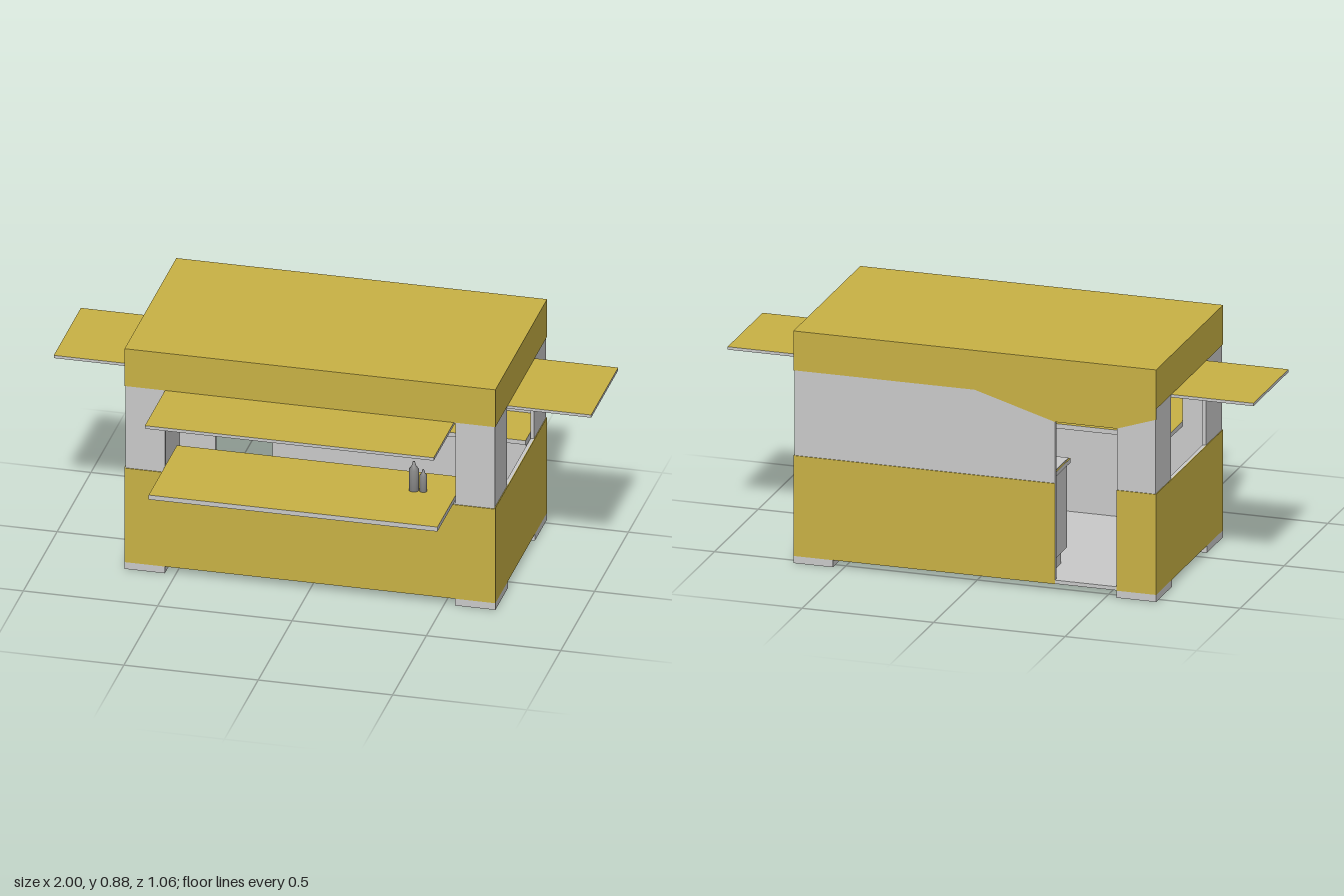
import * as THREE from 'three';

const gold = new THREE.MeshStandardMaterial({ name: 'goldPaint', color: 0xc9b245 });
const grey = new THREE.MeshStandardMaterial({ name: 'lightGrey', color: 0xcacaca });
const dark = new THREE.MeshStandardMaterial({ name: 'bottleGrey', color: 0x8c8c8c });

const X = 0.69, ZF = 0.235, ZB = -0.53, TOP = 0.885; // outer body limits
const BASE = 0.027, SILL = 0.41, BAND = 0.735;       // paint heights
const WX = 0.54, WZ0 = -0.35, WZ1 = 0.05;            // window limits
const DOOR0 = -0.54, DOOR1 = -0.305, DOORTOP = 0.645;
const SKIN = 0.003, WALL = 0.013;

const rect = (x0, y0, x1, y1) => [[x0, y0], [x1, y0], [x1, y1], [x0, y1]];
const toVectors = (pts) => pts.map(([x, y]) => new THREE.Vector2(x, y));

export function createModel() {
  const root = new THREE.Group();
  root.name = 'kiosk';

  const add = (name, geometry, material, parent = root) => {
    const mesh = new THREE.Mesh(geometry, material);
    mesh.name = name;
    parent.add(mesh);
    return mesh;
  };
  // Box given by its limits
  const box = (name, x0, x1, y0, y1, z0, z1, material, parent) => {
    const mesh = add(name, new THREE.BoxGeometry(x1 - x0, y1 - y0, z1 - z0), material, parent);
    mesh.position.set((x0 + x1) / 2, (y0 + y1) / 2, (z0 + z1) / 2);
    return mesh;
  };
  // Flat outline with optional holes, given a thickness
  const plate = (name, outline, depth, material, parent, hole) => {
    const shape = new THREE.Shape(toVectors(outline));
    if (hole) shape.holes.push(new THREE.Path(toVectors(hole)));
    return add(name, new THREE.ExtrudeGeometry(shape, { depth, bevelEnabled: false }), material, parent);
  };
  // Hatch board: painted faces, bare edges
  const board = (name, x0, x1, y0, y1, z0, z1) =>
    box(name, x0, x1, y0, y1, z0, z1, [grey, grey, gold, gold, grey, grey]);

  // Front wall with serving window
  const front = new THREE.Group();
  front.name = 'frontWall';
  root.add(front);
  plate('frontWallCore', rect(-X + SKIN, BASE, X - SKIN, TOP - SKIN), WALL, grey, front,
    rect(-WX, SILL, WX, BAND - 0.004)).position.z = ZF - SKIN - WALL;
  plate('frontLowerPaint', rect(-X, BASE, X, SILL - 0.005), SKIN, gold, front).position.z = ZF - SKIN;
  plate('frontUpperPaint', rect(-X, BAND, X, TOP), SKIN, gold, front).position.z = ZF - SKIN;

  // Back wall with doorway and a sloping painted edge around it
  const back = new THREE.Group();
  back.name = 'backWall';
  root.add(back);
  plate('backWallCore', [
    [-X + SKIN, BASE], [DOOR0, BASE], [DOOR0, DOORTOP], [DOOR1, DOORTOP], [DOOR1, BASE],
    [X - SKIN, BASE], [X - SKIN, TOP - SKIN], [-X + SKIN, TOP - SKIN],
  ], WALL, grey, back).position.z = ZB + SKIN;
  plate('backUpperPaint', [
    [-X, 0.695], [DOOR0, DOORTOP], [DOOR1, DOORTOP], [0, BAND], [X, BAND], [X, TOP], [-X, TOP],
  ], SKIN, gold, back).position.z = ZB;
  plate('backLowerPaint', rect(DOOR1, BASE, X, SILL), SKIN, gold, back).position.z = ZB;
  plate('doorSidePaint', rect(-X, BASE, DOOR0, SILL), SKIN, gold, back).position.z = ZB;
  plate('doorHeaderInside', rect(DOOR0, DOORTOP, DOOR1, TOP - 0.02), SKIN, gold, back)
    .position.z = ZB + SKIN + WALL;

  // Side walls, each with a window and a raised hatch
  for (const s of [1, -1]) {
    const side = new THREE.Group();
    side.name = s > 0 ? 'leftWall' : 'rightWall';
    root.add(side);
    const sidePlate = (name, outline, inset, depth, material, hole) => {
      const mesh = plate(name, outline, depth, material, side, hole);
      mesh.rotation.y = -Math.PI / 2;
      mesh.position.x = s > 0 ? X - inset : -X + inset + depth;
    };
    sidePlate('sideWallCore', rect(ZB + SKIN, BASE, ZF - SKIN, TOP - SKIN), SKIN, WALL, grey,
      rect(WZ0, SILL, WZ1, BAND - 0.004));
    sidePlate('sideLowerPaint', rect(ZB, BASE, ZF, SILL), 0, SKIN, gold);
    sidePlate('sideUpperPaint', rect(ZB, BAND, ZF, TOP), 0, SKIN, gold);
    const [a, b] = s > 0 ? [X - 0.01, 1] : [-1, -X + 0.01];
    board('sideHatch', a, b, 0.722, 0.733, WZ0, WZ1);

    // Corner feet
    const [f0, f1] = s > 0 ? [WX, X] : [-X, -WX];
    box('frontFoot', f0, f1, 0, BASE, WZ1, ZF, grey);
    box('backFoot', f0, f1, 0, BASE, ZB, WZ0, grey);
  }

  // Roof and floor
  box('roofCore', -X + SKIN, X - SKIN, TOP - 0.02, TOP - SKIN, ZB + SKIN, ZF - SKIN, grey);
  box('roofPaint', -X, X, TOP - SKIN, TOP, ZB, ZF, gold);
  box('floor', -X + SKIN, X - SKIN, BASE, BASE + 0.014, ZB + SKIN, ZF - SKIN, grey);

  // Front awning and serving counter
  board('frontAwning', -WX, WX - 0.005, 0.722, 0.734, ZF - 0.01, 0.53);
  board('servingCounter', -WX, WX - 0.005, 0.411, 0.429, WZ1 + 0.005, 0.475);

  // Work counter along the back wall
  const work = new THREE.Group();
  work.name = 'workCounter';
  root.add(work);
  const zIn = ZB + SKIN + WALL;
  box('cabinet', -0.275, X - 0.02, 0.09, 0.411, zIn, -0.3, grey, work);
  box('toeKick', -0.265, X - 0.02, BASE + 0.01, 0.09, zIn, -0.34, grey, work);
  box('worktop', -0.285, X - 0.02, 0.411, 0.428, zIn, -0.29, [grey, grey, gold, gold, grey, grey], work);
  box('hotPlate', -0.28, -0.13, 0.428, 0.432, zIn + 0.01, -0.3, grey, work);

  // Condiment bottles on the serving counter
  const bottle = (x, r, h) => {
    const y = 0.429;
    const pts = [[0, 0], [r, 0], [r, 0.72 * h], [0.45 * r, 0.84 * h], [0.2 * r, h], [0, h]];
    const mesh = add('bottle', new THREE.LatheGeometry(toVectors(pts), 12), dark);
    mesh.position.set(x, y, 0.2);
  };
  bottle(0.378, 0.019, 0.115);
  bottle(0.413, 0.014, 0.087);

  return root;
}
